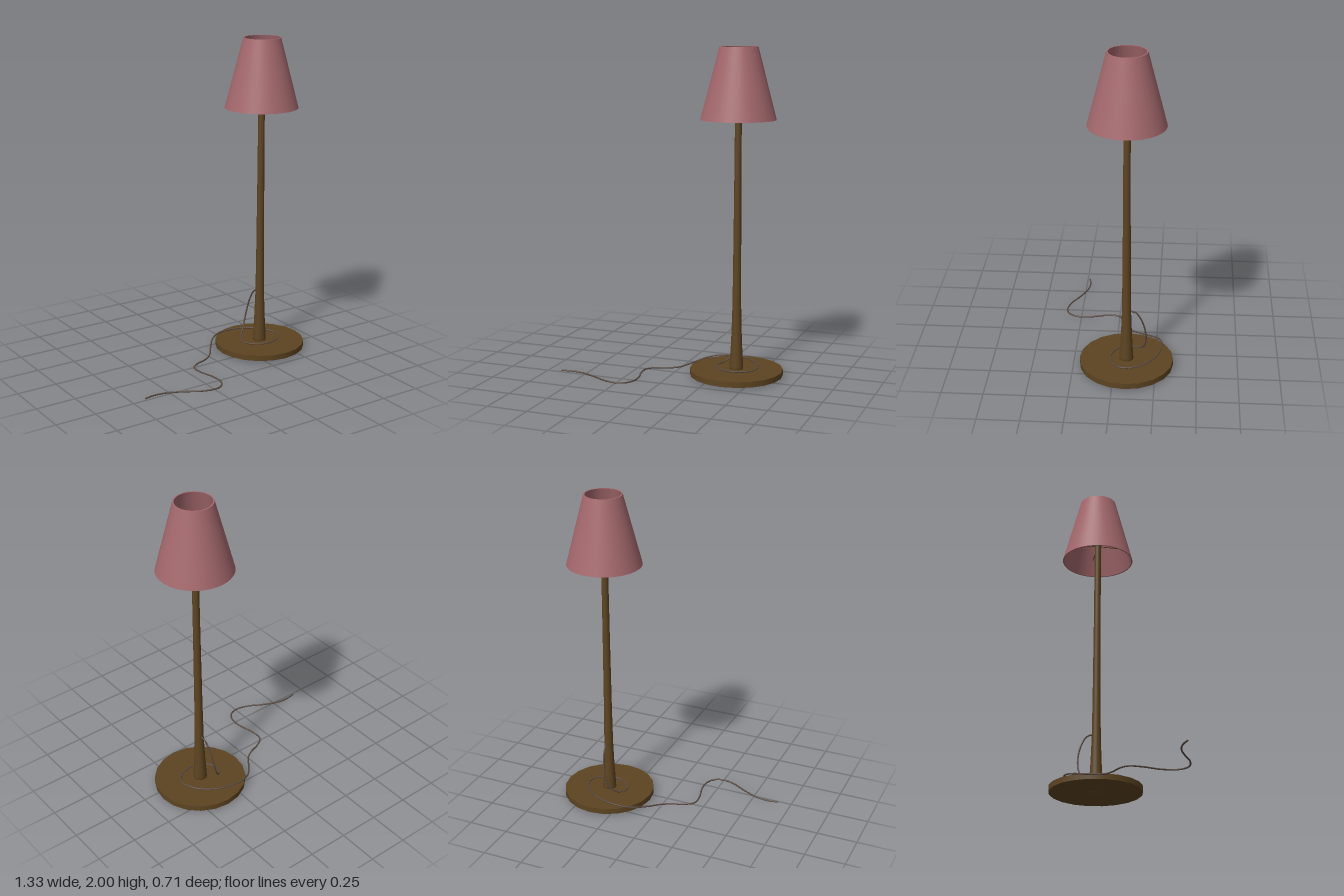
import * as THREE from 'three';

const mat = (name, color, side = THREE.FrontSide) => {
  const m = new THREE.MeshStandardMaterial({ color, side });
  m.name = name;
  return m;
};

export function createModel() {
  const wood = mat('brown wood', 0x5d4421);
  const fabric = mat('dusty pink fabric', 0xa5696d, THREE.DoubleSide);
  const cable = mat('grey brown cable', 0x594a40);
  const glass = mat('pale grey glass', 0xa39c94);

  const model = new THREE.Group();
  model.name = 'floorLamp';
  const lamp = new THREE.Group();
  lamp.name = 'lamp';
  lamp.position.set(0.375, 0, -0.073);
  model.add(lamp);

  const add = (parent, name, geometry, material, x = 0, y = 0, z = 0) => {
    const mesh = new THREE.Mesh(geometry, material);
    mesh.name = name;
    mesh.position.set(x, y, z);
    parent.add(mesh);
    return mesh;
  };
  const profile = (points) => points.map(([r, y]) => new THREE.Vector2(r, y));

  // Twenty-sided foot
  add(lamp, 'base', new THREE.CylinderGeometry(0.285, 0.285, 0.035, 20), wood, 0, 0.0255, 0);

  // Pole flaring towards the foot
  add(lamp, 'pole', new THREE.LatheGeometry(profile([
    [0, 0.006], [0.043, 0.006], [0.042, 0.06], [0.034, 0.2], [0.028, 0.36],
    [0.025, 0.6], [0.022, 1.1], [0.02, 1.69], [0, 1.69],
  ]), 24), wood);

  // Open shade: each wall and rim has its own normals
  const shade = new THREE.Group();
  shade.name = 'shade';
  lamp.add(shade);
  const walls = {
    shadeOuter: [[0.227, 1.57], [0.115, 2]],
    shadeTopRim: [[0.115, 2], [0.107, 2]],
    shadeInner: [[0.107, 2], [0.219, 1.57]],
    shadeBottomRim: [[0.219, 1.57], [0.227, 1.57]],
  };
  for (const [name, points] of Object.entries(walls)) {
    add(shade, name, new THREE.LatheGeometry(profile(points), 48), fabric);
  }

  // Four spokes carrying the shade
  for (let i = 0; i < 4; i++) {
    const holder = new THREE.Group();
    holder.name = 'spokeHolder';
    holder.rotation.y = i * Math.PI / 2;
    lamp.add(holder);
    const spoke = add(holder, 'spoke', new THREE.CylinderGeometry(0.003, 0.003, 0.195, 8), wood, 0.0975, 1.68, 0);
    spoke.rotation.z = Math.PI / 2;
  }

  // Bulb
  add(lamp, 'bulb', new THREE.LatheGeometry(profile([
    [0.014, 1.685], [0.015, 1.705], [0.024, 1.725], [0.028, 1.745],
    [0.024, 1.762], [0.014, 1.771], [0, 1.774],
  ]), 20), glass);

  // Cord: out of the pole, once around the foot, then along the floor
  const path = [
    [0.375, 0.375, -0.09], [0.372, 0.36, -0.13], [0.365, 0.29, -0.17],
    [0.35, 0.19, -0.19], [0.325, 0.11, -0.182], [0.285, 0.065, -0.15],
    [0.25, 0.052, -0.09], [0.275, 0.05, -0.02], [0.37, 0.05, 0.025],
    [0.465, 0.052, 0.0], [0.508, 0.056, -0.07], [0.475, 0.06, -0.17],
    [0.385, 0.062, -0.25], [0.28, 0.06, -0.282], [0.2, 0.055, -0.284],
    [0.13, 0.042, -0.25], [0.06, 0.022, -0.17], [0, 0.008, -0.093],
    [-0.06, 0.005, -0.055], [-0.13, 0.005, -0.03], [-0.182, 0.005, 0.012],
    [-0.185, 0.005, 0.09], [-0.16, 0.005, 0.2], [-0.164, 0.005, 0.285],
    [-0.2, 0.005, 0.335], [-0.25, 0.005, 0.35], [-0.33, 0.005, 0.332],
    [-0.42, 0.005, 0.282], [-0.52, 0.005, 0.237], [-0.6, 0.005, 0.226],
    [-0.662, 0.005, 0.235],
  ].map((p) => new THREE.Vector3(...p));
  const curve = new THREE.CatmullRomCurve3(path, false, 'centripetal');
  add(model, 'cord', new THREE.TubeGeometry(curve, 240, 0.005, 8), cable);
  add(model, 'cordEnd', new THREE.SphereGeometry(0.005, 8, 6), cable, -0.662, 0.005, 0.235);

  return model;
}
